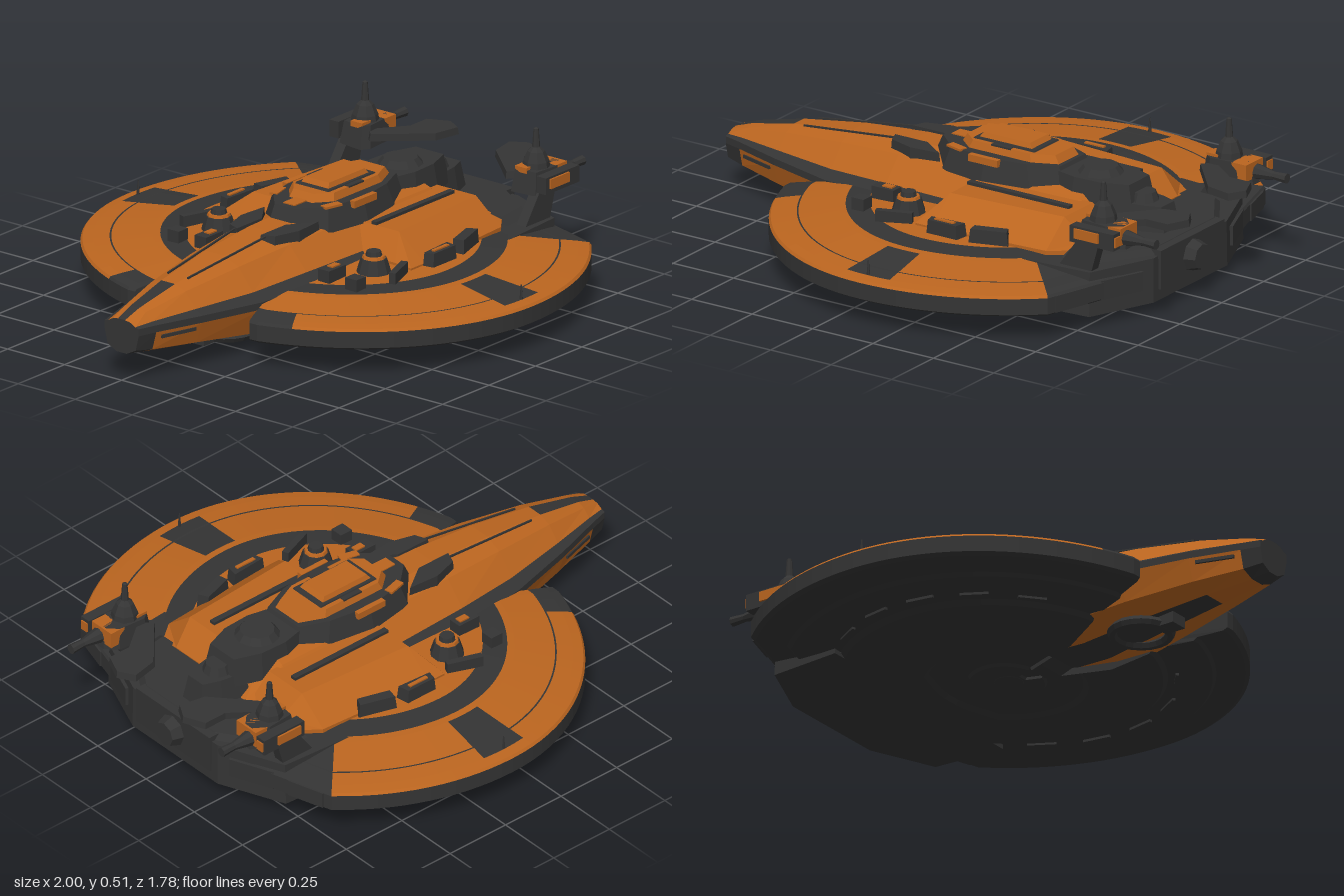
import * as THREE from 'three';

const orange = new THREE.MeshStandardMaterial({ color: 0xbb651f });
orange.name = 'orange paint';
const dark = new THREE.MeshStandardMaterial({ color: 0x343434 });
dark.name = 'dark grey hull';
const MATS = [orange, dark];
const O = 0, D = 1;
const DEG = Math.PI / 180;

// Skin closed loops of [x, y, z] points with flat facets; pick(i, j, x, y, z) chooses the colour of each face
function loft(name, loops, pick) {
  const color = typeof pick === 'number' ? () => pick : pick;
  const tris = [];
  const n = loops[0].length;
  const tri = (m, a, b, c) => tris.push({ m, p: [a, b, c] });
  const mid = (...p) => [0, 1, 2].map(k => p.reduce((t, q) => t + q[k], 0) / p.length);
  for (let i = 0; i < loops.length - 1; i++) {
    for (let j = 0; j < n; j++) {
      const a = loops[i][j], b = loops[i][(j + 1) % n], c = loops[i + 1][(j + 1) % n], d = loops[i + 1][j];
      const m = color(i, j, ...mid(a, b, c, d));
      tri(m, a, b, c);
      tri(m, a, c, d);
    }
  }
  [[loops[0], -1], [loops[loops.length - 1], -2]].forEach(([loop, id]) => {
    const c = mid(...loop);
    loop.forEach((p, j) => {
      const q = loop[(j + 1) % n];
      if (id === -1) tri(color(id, j, ...c), c, q, p);
      else tri(color(id, j, ...c), c, p, q);
    });
  });
  // turn all faces outward
  let volume = 0;
  const v = tris.map(t => t.p.map(p => new THREE.Vector3(...p)));
  v.forEach(([a, b, c]) => { volume += a.dot(b.clone().cross(c)); });
  const pos = [], geo = new THREE.BufferGeometry();
  [O, D].forEach(m => {
    const start = pos.length / 3;
    tris.filter(t => t.m === m).forEach(({ p: [a, b, c] }) => pos.push(...a, ...(volume < 0 ? c : b), ...(volume < 0 ? b : c)));
    geo.addGroup(start, pos.length / 3 - start, m);
  });
  geo.setAttribute('position', new THREE.Float32BufferAttribute(pos, 3));
  geo.computeVertexNormals();
  const mesh = new THREE.Mesh(geo, MATS);
  mesh.name = name;
  return mesh;
}

// Block from a plan outline [x, z] that narrows towards its top
function block(name, plan, y0, y1, scale, pick) {
  const cx = plan.reduce((t, p) => t + p[0], 0) / plan.length;
  const cz = plan.reduce((t, p) => t + p[1], 0) / plan.length;
  return loft(name, [
    plan.map(([x, z]) => [x, y0, z]),
    plan.map(([x, z]) => [cx + (x - cx) * scale, y1, cz + (z - cz) * scale]),
  ], pick);
}

// Mirror half a plan outline across z = 0
const both = half => [...half, ...half.slice().reverse().map(([x, z]) => [x, -z])];

function part(name, geo, m, x, y, z, rx = 0, ry = 0, rz = 0) {
  const g = geo.index ? geo.toNonIndexed() : geo;
  g.computeVertexNormals();
  const mesh = new THREE.Mesh(g, MATS[m]);
  mesh.name = name;
  mesh.position.set(x, y, z);
  mesh.rotation.set(rx, ry, rz);
  return mesh;
}
const box = (name, w, h, d, m, ...at) => part(name, new THREE.BoxGeometry(w, h, d), m, ...at);
const cyl = (name, r1, r2, h, n, m, ...at) => part(name, new THREE.CylinderGeometry(r1, r2, h, n), m, ...at);

function saucer() {
  // plan outline: trimmed stern, round sides, notch under the neck
  const half = [[0.87, 0.1], [0.85, 0.25], [0.79, 0.45], [0.73, 0.65]];
  for (let a = 48; a <= 159; a += 3) {
    const c = Math.cos(a * DEG), s = Math.sin(a * DEG);
    const r = 1 / Math.hypot(c / (c < 0 ? 0.78 : 0.89), s / 0.89);
    half.push([0.12 + r * c, r * s]);
  }
  half.push([-0.62, 0.25], [-0.26, 0.12]);
  const plan = both(half);
  // [scale, height] from the top centre, round the rim, to the keel
  const rings = [[0.02, 0.225], [0.58, 0.205], [0.68, 0.2], [0.71, 0.198], [0.876, 0.18], [0.883, 0.18], [0.95, 0.173],
    [0.992, 0.167], [1, 0.158], [1, 0.1], [0.98, 0.09], [0.86, 0.078], [0.845, 0.066], [0.66, 0.056], [0.64, 0.04],
    [0.47, 0], [0.33, 0], [0.31, 0.014], [0.16, 0.014], [0.15, 0.004], [0.02, 0.004]];
  return loft('saucer', rings.map(([s, y]) => plan.map(([x, z]) => [0.12 + (x - 0.12) * s, y, z * s])), (i, j, x, y, z) => {
    const a = Math.atan2(Math.abs(z), x - 0.12) / DEG;
    if (i < 0 || i >= 8 || i === 1) return D;
    if (i >= 1 && a < 47) return D;                       // stern quarter
    if (i >= 3 && i <= 5 && Math.abs(a - 90) < 6) return D; // side patch
    if (i === 4 && a < 150) return D;                     // panel groove
    return i >= 4 && a > 150 ? D : O;                     // front tips
  });
}

function neck() {
  // [x, half width, bottom, chine, top]
  const stations = [[-1, 0.075, 0.1, 0.2, 0.22], [-0.93, 0.095, 0.09, 0.2, 0.245], [-0.75, 0.15, 0.075, 0.197, 0.285],
    [-0.5, 0.21, 0.05, 0.19, 0.32], [-0.25, 0.25, 0.02, 0.2, 0.338], [0.1, 0.27, 0.03, 0.2, 0.345],
    [0.5, 0.26, 0.03, 0.2, 0.34], [0.65, 0.22, 0.05, 0.2, 0.225]];
  return loft('neckHull', stations.map(([x, w, b, c, t]) => both([
    [0.3 * w, b], [0.82 * w, b + 0.02], [w, c - 0.025], [w, c], [0.8 * w, c + 0.2 * (t - c)],
    [0.5 * w, c + 0.8 * (t - c)], [0.2 * w, t]].map(([z, y]) => [y, z])).map(([y, z]) => [x, y, z])),
  (i, j) => {
    const k = Math.min(j, 12 - j); // mirrored face number
    if (i < 0 || k === 2 || k === 3) return D;
    if (j === 13) return i === 1 ? O : D;
    if (k < 2) return i === 0 ? D : O;
    return k === 6 && i < 2 ? D : O;
  });
}

function bridge() {
  const g = new THREE.Group();
  g.name = 'bridge';
  g.add(block('bridgeBase', both([[-0.16, 0.05], [-0.06, 0.14], [0.12, 0.17], [0.3, 0.14], [0.42, 0.09]]), 0.3, 0.385, 0.87, D));
  g.add(box('foreDeckPanel', 0.07, 0.008, 0.05, O, -0.065, 0.385, 0));
  g.add(block('bridgeDeck', both([[-0.04, 0.05], [0.02, 0.1], [0.28, 0.1], [0.37, 0.06]]), 0.38, 0.412, 0.9, O));
  g.add(block('roofCollar', both([[0.02, 0.075], [0.28, 0.075]]), 0.405, 0.417, 0.95, D));
  g.add(block('bridgeRoof', both([[0.035, 0.062], [0.26, 0.062]]), 0.41, 0.434, 0.85, O));
  g.add(block('aftHousing', both([[0.34, 0.09], [0.45, 0.115], [0.57, 0.11], [0.68, 0.07]]), 0.27, 0.372, 0.87, D));
  g.add(cyl('aftDome', 0.06, 0.085, 0.03, 12, D, 0.5, 0.38, 0));
  g.add(block('sternSpine', both([[0.6, 0.1], [0.72, 0.08], [0.8, 0.05]]), 0.19, 0.31, 0.75, D));
  g.add(cyl('sternDome', 0.04, 0.06, 0.05, 10, D, 0.68, 0.315, 0));
  for (const s of [-1, 1]) {
    g.add(block('collarPlate', [[-0.32, 0.05], [-0.3, 0.1], [-0.2, 0.13], [-0.08, 0.12], [-0.18, 0.05]].map(([x, z]) => [x, z * s]), 0.3, 0.347, 0.95, D));
    g.add(box('sideVent', 0.12, 0.025, 0.02, O, 0.12, 0.375, 0.148 * s));
    g.add(box('cornerPanel', 0.07, 0.008, 0.03, O, -0.015, 0.385, 0.118 * s, 0, -0.25 * s, 0));
    g.add(box('ridgeRail', 0.4, 0.006, 0.006, D, -0.5, 0.318, 0.055 * s, 0, -0.06 * s, 0.12));
    g.add(box('deckSlot', 0.08, 0.006, 0.02, D, 0.15, 0.412, 0.084 * s));
  }
  return g;
}

// Deck fittings on one side of the saucer
function deck(s) {
  const g = new THREE.Group();
  g.name = 'deckFittings';
  const flip = pts => pts.map(([x, z]) => [x, z * s]);
  const stations = [[0.03, 0.36, 0.43, 0.22], [0.1, 0.32, 0.43, 0.305], [0.55, 0.29, 0.4, 0.305], [0.63, 0.27, 0.34, 0.225]];
  g.add(loft('shoulderBlock', stations.map(([x, zi, zo, y]) => [[x, 0.15, 0.12], [x, 0.19, zo], [x, 0.215, zo], [x, y, zi], [x, y, 0.12]]
    .map(([px, y, z]) => [px, y, z * s])), O));
  g.add(box('shoulderRail', 0.42, 0.012, 0.022, D, 0.31, 0.31, 0.21 * s));
  g.add(block('gunBay', flip([[0.09, 0.43], [0.1, 0.47], [0.23, 0.47], [0.24, 0.42]]), 0.18, 0.255, 0.88, D));
  g.add(block('gunBay', flip([[0.26, 0.42], [0.27, 0.465], [0.41, 0.42], [0.39, 0.38]]), 0.18, 0.255, 0.88, D));
  g.add(box('gunBayLid', 0.08, 0.008, 0.014, O, 0.165, 0.256, 0.448 * s));
  g.add(box('deckStrip', 0.13, 0.04, 0.025, D, -0.05, 0.225, 0.44 * s, 0, 0.35 * s, 0));
  g.add(cyl('turretBase', 0.045, 0.06, 0.05, 10, D, -0.06, 0.235, 0.34 * s));
  g.add(cyl('turretBand', 0.038, 0.042, 0.012, 10, O, -0.06, 0.263, 0.34 * s));
  g.add(cyl('turretCap', 0.025, 0.03, 0.02, 10, D, -0.06, 0.275, 0.34 * s));
  g.add(box('deckLocker', 0.05, 0.05, 0.05, D, -0.22, 0.22, 0.39 * s));
  g.add(box('deckLocker', 0.09, 0.05, 0.05, D, -0.2, 0.225, 0.27 * s));
  g.add(box('deckLockerLid', 0.04, 0.01, 0.025, O, -0.19, 0.25, 0.27 * s));
  g.add(cyl('rimAntenna', 0.002, 0.007, 0.06, 5, D, 0.12, 0.195, 0.84 * s));
  return g;
}

// Raised gun pod at the stern, with its pylon and swept fin
function aftPod(s) {
  const g = new THREE.Group();
  g.name = 'aftGunPod';
  const flip = pts => pts.map(([x, z]) => [x, z * s]);
  g.add(loft('pylon', [[0.62, 0.76, 0.18], [0.72, 0.8, 0.32]].map(([a, b, y]) =>
    flip([[a, 0.4], [b, 0.4], [b, 0.44], [a, 0.44]]).map(([x, z]) => [x, y, z])), D));
  g.add(block('podBody', flip([[0.69, 0.33], [0.72, 0.31], [0.84, 0.32], [0.88, 0.36], [0.88, 0.4], [0.82, 0.44], [0.7, 0.43]]), 0.29, 0.37, 0.85, D));
  g.add(box('podCheek', 0.18, 0.06, 0.04, D, 0.79, 0.335, 0.455 * s));
  g.add(box('podPanel', 0.1, 0.035, 0.008, O, 0.77, 0.34, 0.478 * s));
  g.add(box('podTailPanel', 0.008, 0.035, 0.03, O, 0.881, 0.335, 0.455 * s));
  g.add(box('podBand', 0.06, 0.06, 0.1, O, 0.845, 0.34, 0.375 * s));
  g.add(box('podSight', 0.05, 0.02, 0.05, O, 0.73, 0.37, 0.36 * s));
  const spire = [[0, 0.36], [0.05, 0.36], [0.045, 0.39], [0.03, 0.425], [0.014, 0.44], [0.009, 0.505], [0, 0.51]].map(p => new THREE.Vector2(...p));
  g.add(part('spire', new THREE.LatheGeometry(spire, 8), D, 0.77, 0, 0.375 * s));
  g.add(cyl('barrel', 0.012, 0.035, 0.12, 8, D, 0.9, 0.33, 0.39 * s, 0, 0, -Math.PI / 2));
  g.add(cyl('muzzle', 0.018, 0.014, 0.06, 8, D, 0.97, 0.33, 0.39 * s, 0, 0, -Math.PI / 2));
  g.add(block('sweptFin', flip([[0.74, 0.34], [0.86, 0.25], [0.95, 0.25], [0.985, 0.17], [0.95, 0.11], [0.85, 0.13], [0.7, 0.3]]), 0.325, 0.35, 0.97, D));
  return g;
}

function stern() {
  const g = new THREE.Group();
  g.name = 'stern';
  g.add(block('sternHull', both([[0.5, 0.48], [0.77, 0.46], [0.87, 0.22]]), 0.04, 0.2, 0.99, D));
  g.add(block('sternDeck', both([[0.6, 0.4], [0.74, 0.38], [0.86, 0.2]]), 0.19, 0.222, 0.88, D));
  g.add(box('sternPlate', 0.04, 0.14, 0.38, D, 0.86, 0.15, 0));
  g.add(cyl('engineNozzle', 0.045, 0.065, 0.06, 8, D, 0.89, 0.15, 0, 0, 0, -Math.PI / 2));
  for (const s of [-1, 1]) {
    g.add(box('sternVent', 0.03, 0.07, 0.17, D, 0.815, 0.13, 0.34 * s, 0, -0.39 * s, 0));
    g.add(box('sternCorner', 0.03, 0.06, 0.14, D, 0.75, 0.13, 0.55 * s, 0, -0.29 * s, 0));
  }
  return g;
}

function underside() {
  const g = new THREE.Group();
  g.name = 'underside';
  for (let a = 20; a < 360; a += 20) {
    if (Math.abs(a - 180) < 30) continue;
    const c = Math.cos(a * DEG), s = Math.sin(a * DEG);
    g.add(box('keelRib', 0.012, 0.016, 0.1, D, 0.12 + 0.6 * c * (c < 0 ? 0.88 : 0.9), 0.058, 0.64 * s, 0, -a * DEG, 0));
  }
  g.add(part('neckRing', new THREE.TorusGeometry(0.1, 0.018, 6, 20), D, -0.44, 0.035, 0, Math.PI / 2, 0, 0));
  g.add(box('neckSkid', 0.08, 0.04, 0.07, D, -0.56, 0.04, 0));
  g.add(cyl('keelHub', 0.07, 0.05, 0.02, 16, D, 0.12, 0.012, 0));
  return g;
}

export function createModel() {
  const model = new THREE.Group();
  model.name = 'saucerShip';
  model.add(saucer(), neck(), bridge(), stern(), underside());
  for (const s of [-1, 1]) {
    model.add(deck(s), aftPod(s));
    // inset panels on the sides of the nose
    model.add(box('noseSlot', 0.14, 0.012, 0.008, D, -0.84, 0.155, 0.12 * s, 0, -0.29 * s, 0));
  }
  return model;
}
